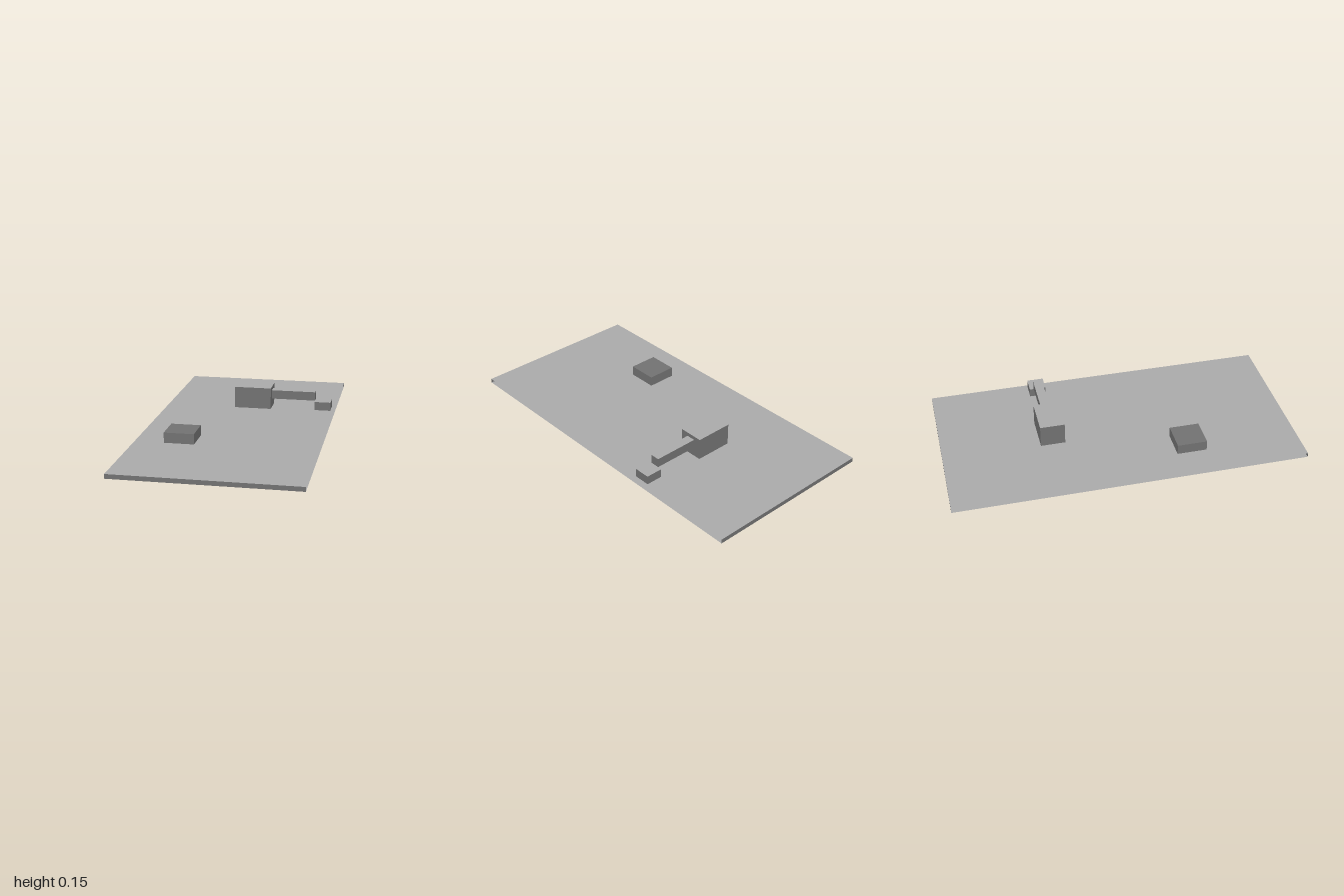
import * as THREE from 'three';

export function createModel() {
  const model = new THREE.Group();
  const light = new THREE.MeshStandardMaterial({ color: 0xa9a9a9, side: THREE.DoubleSide });
  light.name = 'lightGrey';
  const dark = new THREE.MeshStandardMaterial({ color: 0x717171, side: THREE.DoubleSide });
  dark.name = 'darkGrey';

  // Base slab: a thin sleeve, open along both long sides
  const width = 1.01, height = 0.025, depth = 2;
  const slab = new THREE.Group();
  slab.name = 'baseSlab';
  for (const s of [1, -1]) {
    const plate = new THREE.Mesh(new THREE.PlaneGeometry(width, depth), light);
    plate.name = s > 0 ? 'slabTop' : 'slabBottom';
    plate.rotation.x = -s * Math.PI / 2;
    plate.position.y = s > 0 ? height : 0;
    const edge = new THREE.Mesh(new THREE.PlaneGeometry(width, height), dark);
    edge.name = s > 0 ? 'slabFrontEdge' : 'slabBackEdge';
    edge.rotation.y = s > 0 ? 0 : Math.PI;
    edge.position.set(0, height / 2, s * depth / 2);
    slab.add(plate, edge);
  }
  model.add(slab);

  // Block given by its extents, with its own colour for the top and bottom
  const addBlock = (name, [x0, x1], [y0, y1], [z0, z1], cap) => {
    const geometry = new THREE.BoxGeometry(x1 - x0, y1 - y0, z1 - z0);
    const block = new THREE.Mesh(geometry, [dark, dark, cap, cap, dark, dark]);
    block.name = name;
    block.position.set((x0 + x1) / 2, (y0 + y1) / 2, (z0 + z1) / 2);
    model.add(block);
  };

  // Large block, raised arm and small end block in a row
  addBlock('largeBlock', [-0.092, 0.126], [height, 0.152], [-0.444, -0.304], light);
  addBlock('raisedArm', [0.126, 0.389], [0.078, 0.13], [-0.4, -0.348], light);
  addBlock('endBlock', [0.389, 0.484], [height, 0.075], [-0.422, -0.328], light);

  // Low block near the front
  addBlock('lowBlock', [-0.34, -0.172], [height, 0.083], [0.287, 0.457], dark);

  return model;
}
